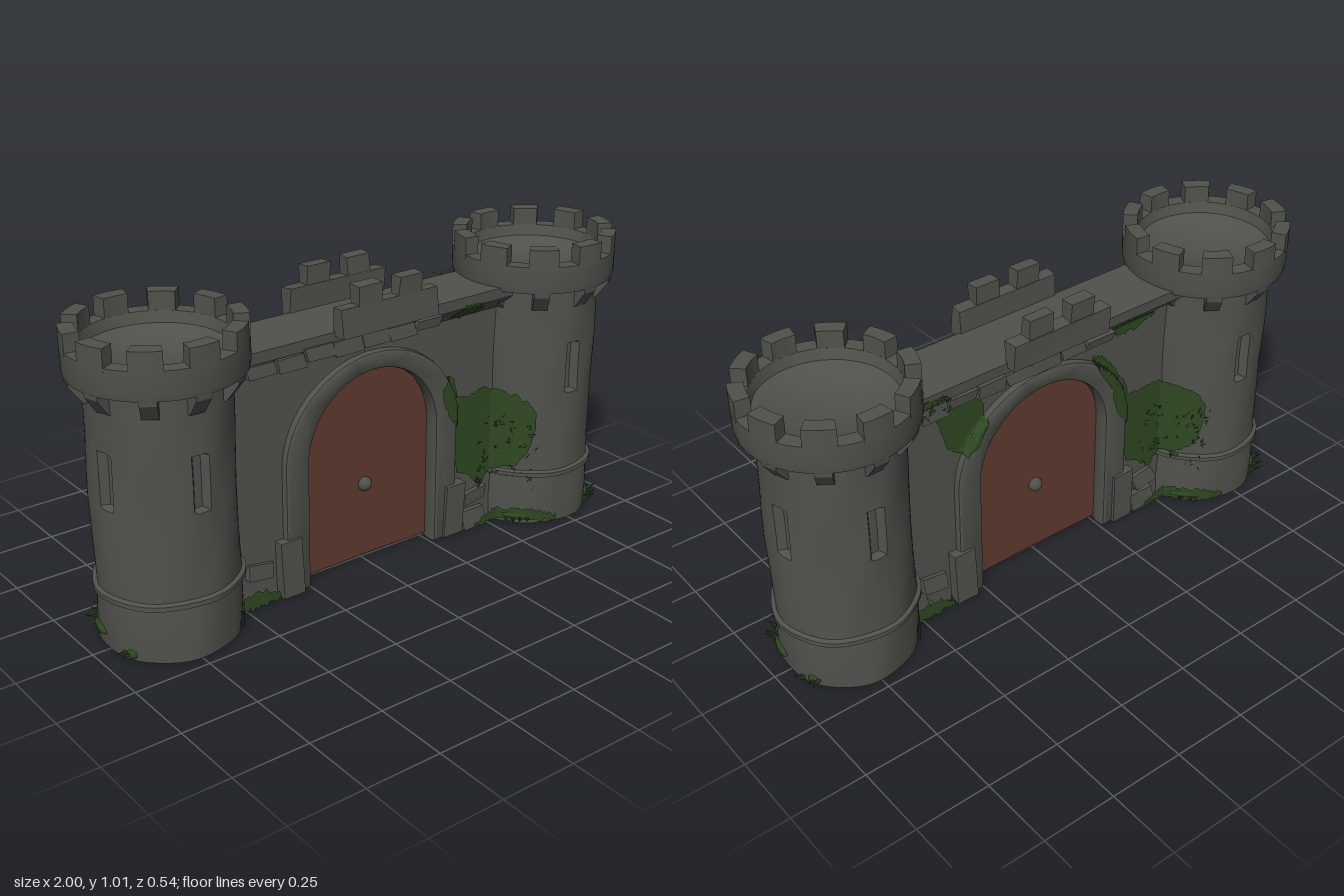
import * as THREE from 'three';
import { toCreasedNormals } from 'three/addons/utils/BufferGeometryUtils.js';

const makeMat = (name, color, side = THREE.FrontSide) => {
  const m = new THREE.MeshStandardMaterial({ color, side });
  m.name = name;
  return m;
};

export function createModel() {
  const stone = makeMat('stone', 0x51514c);
  const wood = makeMat('door wood', 0x603a2f);
  const moss = makeMat('moss', 0x2e4822, THREE.DoubleSide);

  let seed = 7;
  const rnd = (a = 0, b = 1) => {
    seed = (seed * 16807) % 2147483647;
    return a + (b - a) * (seed / 2147483647);
  };
  const V2 = (pts) => pts.map(([x, y]) => new THREE.Vector2(x, y));

  const add = (parent, name, geo, mat, x = 0, y = 0, z = 0) => {
    const m = new THREE.Mesh(geo, mat);
    m.name = name;
    m.position.set(x, y, z);
    parent.add(m);
    return m;
  };
  // Box with slightly uneven corners, like rough cut stone
  const block = (parent, name, w, h, d, x, y, z, rough = 0.004) => {
    const g = new THREE.BoxGeometry(w, h, d);
    const p = g.attributes.position;
    const k = rnd(0, 6);
    for (let i = 0; i < p.count; i++) {
      const s = Math.sin(k + 3 * Math.sign(p.getX(i)) + 5 * Math.sign(p.getY(i)) + 7 * Math.sign(p.getZ(i)));
      p.setXYZ(i, p.getX(i) + s * rough, p.getY(i) - s * rough * 0.6, p.getZ(i) + s * rough * 0.5);
    }
    g.computeVertexNormals();
    return add(parent, name, g, stone, x, y, z);
  };

  // Round shaft with arrow slits pushed into the surface
  const shaftGeometry = () => {
    const R = 0.217;
    const pts = V2([[0, 0], [R, 0], [R + 0.003, 0.09], [R, 0.175], [R + 0.013, 0.18], [R + 0.013, 0.195], [R, 0.2],
      [R, 0.33], [R, 0.472], [R, 0.48], [R, 0.56], [R, 0.645], [R, 0.653], [R, 0.76], [R, 0.87]]);
    const g = new THREE.LatheGeometry(pts, 96);
    const p = g.attributes.position;
    const slits = [0, Math.PI, THREE.MathUtils.degToRad(101.25)];
    for (let i = 0; i < p.count; i++) {
      const x = p.getX(i), y = p.getY(i), z = p.getZ(i), r = Math.hypot(x, z);
      if (r < 0.1) continue;
      const a = Math.atan2(x, z);
      let k = r + 0.003 * Math.sin(3 * a + 9 * y) + 0.002 * Math.sin(7 * a - 14 * y);
      const inSlit = slits.some((s) => Math.cos(a - s) > Math.cos(0.075));
      if (inSlit && y > 0.479 && y < 0.646) k -= 0.025;
      p.setXYZ(i, (x * k) / r, y, (z * k) / r);
    }
    return toCreasedNormals(g, 0.6);
  };

  const merlonGeometry = () => {
    const s = new THREE.Shape();
    s.absarc(0, 0, 0.27, -0.18, 0.18, false);
    s.absarc(0, 0, 0.222, 0.18, -0.18, true);
    const g = new THREE.ExtrudeGeometry(s, { depth: 0.07, bevelEnabled: false, curveSegments: 4 });
    g.rotateX(-Math.PI / 2);
    return toCreasedNormals(g, 0.5);
  };

  // Wedge bracket under the parapet, pointing along +x
  const corbelGeometry = () => {
    const s = new THREE.Shape(V2([[0.2, 0.775], [0.222, 0.78], [0.262, 0.835], [0.264, 0.856], [0.2, 0.856]]));
    const g = new THREE.ExtrudeGeometry(s, { depth: 0.05, bevelEnabled: false });
    return g.translate(0, 0, -0.025);
  };

  const buildTower = () => {
    const t = new THREE.Group();
    add(t, 'towerShaft', shaftGeometry(), stone);
    const ring = new THREE.LatheGeometry(V2([[0.2, 0.85], [0.266, 0.85], [0.27, 0.87], [0.27, 0.94], [0.222, 0.94],
      [0.212, 0.905], [0.18, 0.895], [0.165, 0.885], [0, 0.885]]), 40);
    add(t, 'towerParapet', toCreasedNormals(ring, 0.7), stone);
    const merlon = merlonGeometry(), corbel = corbelGeometry();
    for (let i = 0; i < 10; i++) {
      const a = (i / 10) * Math.PI * 2 - Math.PI / 2;
      add(t, 'towerMerlon', merlon, stone, 0, 0.93 - rnd(0, 0.004), 0).rotation.y = a;
      add(t, 'towerCorbel', corbel, stone).rotation.y = a + rnd(-0.05, 0.05);
    }
    // Moss clumps and grass blades round the foot
    for (const [deg, w, y, blades] of [[-48, 0.06, 0.03, 6], [46, 0.04, 0.035, 4], [76, 0.05, 0.05, 0], [118, 0.02, 0.02, 3]]) {
      const a = THREE.MathUtils.degToRad(deg);
      const clump = add(t, 'mossClump', new THREE.IcosahedronGeometry(1, 1), moss, Math.sin(a) * 0.214, y, Math.cos(a) * 0.214);
      clump.scale.set(w, 0.017, 0.016);
      clump.rotation.y = a;
      for (let j = 0; j < blades; j++) {
        const b = a + rnd(-0.2, 0.2);
        const blade = add(t, 'grassBlade', new THREE.ConeGeometry(0.012, 0.06, 3), moss, Math.sin(b) * 0.235, 0.025, Math.cos(b) * 0.235);
        blade.rotation.set(rnd(0.7, 1.4), b, 0, 'YXZ');
      }
    }
    return t;
  };

  // Height where the gate arch starts to curve, and half thickness of the wall
  const ARCH_Y = 0.43, WALL_Z = 0.055;

  const wallGeometry = () => {
    const s = new THREE.Shape();
    s.moveTo(-0.6, 0).lineTo(-0.26, 0).lineTo(-0.26, ARCH_Y);
    s.absarc(0, ARCH_Y, 0.26, Math.PI, 0, true);
    s.lineTo(0.26, 0).lineTo(0.6, 0).lineTo(0.6, 0.84).lineTo(-0.6, 0.84);
    return toCreasedNormals(new THREE.ExtrudeGeometry(s, { depth: WALL_Z * 2, bevelEnabled: false, curveSegments: 24 }).translate(0, 0, -WALL_Z), 0.5);
  };

  // Walkway that flares out over both faces of the wall
  const walkwayGeometry = () => {
    const s = new THREE.Shape(V2([[-WALL_Z, 0.775], [WALL_Z, 0.775], [0.11, 0.825], [0.112, 0.862], [-0.112, 0.862], [-0.11, 0.825]]));
    return new THREE.ExtrudeGeometry(s, { depth: 1.08, bevelEnabled: false }).translate(0, 0, -0.54).rotateY(Math.PI / 2);
  };

  const archGeometry = () => {
    const s = new THREE.Shape();
    s.moveTo(-0.335, 0.01).lineTo(-0.265, 0.01).lineTo(-0.265, ARCH_Y);
    s.absarc(0, ARCH_Y, 0.265, Math.PI, 0, true);
    s.lineTo(0.265, 0.01).lineTo(0.335, 0.01).lineTo(0.335, ARCH_Y);
    s.absellipse(0, ARCH_Y, 0.335, 0.305, 0, Math.PI, false);
    return toCreasedNormals(new THREE.ExtrudeGeometry(s, {
      depth: 0.03, bevelThickness: 0.014, bevelSize: 0.01, bevelSegments: 2, curveSegments: 20,
    }).translate(0, 0, 0.035), 0.6);
  };

  // Thin leaf set in the middle of the gateway
  const doorLeafGeometry = () => {
    const s = new THREE.Shape();
    s.moveTo(0, 0.014).lineTo(0.26, 0.01).lineTo(0.26, ARCH_Y);
    s.absarc(0, ARCH_Y, 0.26, 0, Math.PI / 2, false);
    return toCreasedNormals(new THREE.ExtrudeGeometry(s, { depth: 0.04, bevelEnabled: false, curveSegments: 14 }).translate(0, 0, -0.02), 0.4);
  };

  // Depth of the stonework at a point of the gate face
  const faceZ = (x, y) => {
    let z = WALL_Z;
    const inArch = y < ARCH_Y ? Math.abs(x) < 0.345 : (x / 0.345) ** 2 + ((y - ARCH_Y) / 0.315) ** 2 < 1;
    if (inArch) z = 0.079;
    if (y > 0.775) z = Math.min(WALL_Z + (y - 0.775) * 1.1, 0.112);
    if (y < 0.07 && Math.abs(x) > 0.38) z = 0.085;
    const d = Math.abs(x) - 0.73;
    if (Math.abs(d) < 0.216) z = Math.max(z, Math.sqrt(0.222 ** 2 - d * d));
    return z;
  };

  // Sheet of growth that follows the stone; sections are [x, low y, high y]
  const growth = (parent, name, sections) => {
    const cols = 36, rows = 14, pos = [], idx = [];
    for (let i = 0; i <= cols; i++) {
      const t = (i / cols) * (sections.length - 1);
      const k = Math.min(Math.floor(t), sections.length - 2), f = t - k;
      const [x, lo, hi] = sections[k].map((v, n) => v + (sections[k + 1][n] - v) * f);
      const j1 = rnd(-0.008, 0.008), j2 = rnd(-0.008, 0.008);
      for (let j = 0; j <= rows; j++) {
        const y = lo + j1 + ((hi + j2 - lo - j1) * j) / rows;
        pos.push(x, y, faceZ(x, y) + 0.007);
        if (i < cols && j < rows) {
          const a = i * (rows + 1) + j, b = a + rows + 1;
          idx.push(a, b, a + 1, b, b + 1, a + 1);
        }
      }
    }
    const g = new THREE.BufferGeometry();
    g.setAttribute('position', new THREE.Float32BufferAttribute(pos, 3));
    g.setIndex(idx);
    g.computeVertexNormals();
    add(parent, name, g, moss);
  };

  // Loose three-cornered leaves scattered in a rectangle
  const leaves = (parent, n, x0, x1, y0, y1) => {
    const pos = [];
    for (let i = 0; i < n; i++) {
      const x = rnd(x0, x1), y = rnd(y0, y1), z = faceZ(x, y) + rnd(0.006, 0.04);
      for (let k = 0; k < 3; k++) pos.push(x + rnd(-0.016, 0.016), y + rnd(-0.016, 0.016), z + rnd(-0.008, 0.008));
    }
    const g = new THREE.BufferGeometry();
    g.setAttribute('position', new THREE.Float32BufferAttribute(pos, 3));
    g.computeVertexNormals();
    add(parent, 'ivyLeaves', g, moss);
  };

  // Everything that sits on one face of the gate
  const buildFace = () => {
    const f = new THREE.Group();
    add(f, 'archSurround', archGeometry(), stone);
    for (const s of [-1, 1]) {
      block(f, 'archFoot', 0.08, 0.19, 0.06, s * 0.333, 0.1, 0.06);
      block(f, 'rubbleStone', 0.09, 0.05, 0.04, s * 0.44, 0.115, 0.055, 0.008).rotation.z = s * 0.15;
    }
    block(f, 'rubbleStone', 0.1, 0.06, 0.05, 0.43, 0.035, 0.055, 0.008);
    block(f, 'gateParapet', 0.37, 0.09, 0.045, 0.005, 0.893, 0.127);
    for (const x of [-0.075, 0.08]) block(f, 'gateMerlon', 0.088, 0.075, 0.043, x, 0.962, 0.127, 0.003);
    for (let x = -0.45; x < 0.25; x += 0.105) {
      block(f, 'ledgeStone', rnd(0.09, 0.11), rnd(0.03, 0.05), 0.05, x, rnd(0.795, 0.815), 0.095, 0.006);
    }
    add(f, 'doorKnob', new THREE.IcosahedronGeometry(0.025, 1), stone, 0, 0.272, 0.022);
    growth(f, 'ivy', [[0.275, 0.52, 0.55], [0.3, 0.45, 0.59], [0.34, 0.41, 0.56], [0.36, 0.22, 0.5], [0.42, 0.19, 0.49],
      [0.47, 0.15, 0.5], [0.51, 0.2, 0.49], [0.55, 0.22, 0.48], [0.58, 0.26, 0.45], [0.6, 0.36, 0.42]]);
    leaves(f, 60, 0.42, 0.6, 0.15, 0.42);
    growth(f, 'footMoss', [[-0.57, 0.012, 0.02], [-0.52, 0.01, 0.06], [-0.44, 0.01, 0.065], [-0.37, 0.012, 0.02]]);
    growth(f, 'footMoss', [[0.42, 0.012, 0.02], [0.5, 0.01, 0.05], [0.6, 0.015, 0.06], [0.68, 0.015, 0.03]]);
    return f;
  };

  const model = new THREE.Group();
  model.name = 'castleGate';

  for (const s of [1, -1]) {
    const turn = s > 0 ? 0 : Math.PI;
    const tower = buildTower();
    tower.name = s > 0 ? 'leftTower' : 'rightTower';
    tower.position.x = s * 0.73;
    tower.rotation.y = turn;
    model.add(tower);

    const face = buildFace();
    face.name = s > 0 ? 'frontFace' : 'backFace';
    face.rotation.y = turn;
    model.add(face);
    if (s > 0) {
      growth(face, 'wallMoss', [[0.3, 0.795, 0.81], [0.34, 0.78, 0.835], [0.39, 0.785, 0.83], [0.43, 0.8, 0.81]]);
    } else {
      // The back wall is more overgrown, with ivy hanging from its top
      growth(face, 'wallMoss', [[0.26, 0.78, 0.81], [0.31, 0.74, 0.83], [0.39, 0.745, 0.82], [0.46, 0.77, 0.79]]);
      growth(face, 'archIvy', [[0.2, 0.68, 0.71], [0.24, 0.61, 0.69], [0.29, 0.54, 0.64], [0.32, 0.5, 0.58]]);
      growth(face, 'hangingIvy', [[-0.51, 0.79, 0.85], [-0.45, 0.77, 0.85], [-0.4, 0.71, 0.84], [-0.37, 0.6, 0.82],
        [-0.31, 0.56, 0.8], [-0.26, 0.59, 0.76], [-0.23, 0.65, 0.71]]);
      leaves(face, 35, -0.52, -0.4, 0.77, 0.86);
    }

    // The second leaf is the first turned half round
    add(model, s > 0 ? 'leftDoorLeaf' : 'rightDoorLeaf', doorLeafGeometry(), wood).rotation.y = turn;
  }
  add(model, 'gateWall', wallGeometry(), stone);
  add(model, 'wallWalkway', walkwayGeometry(), stone);
  return model;
}
